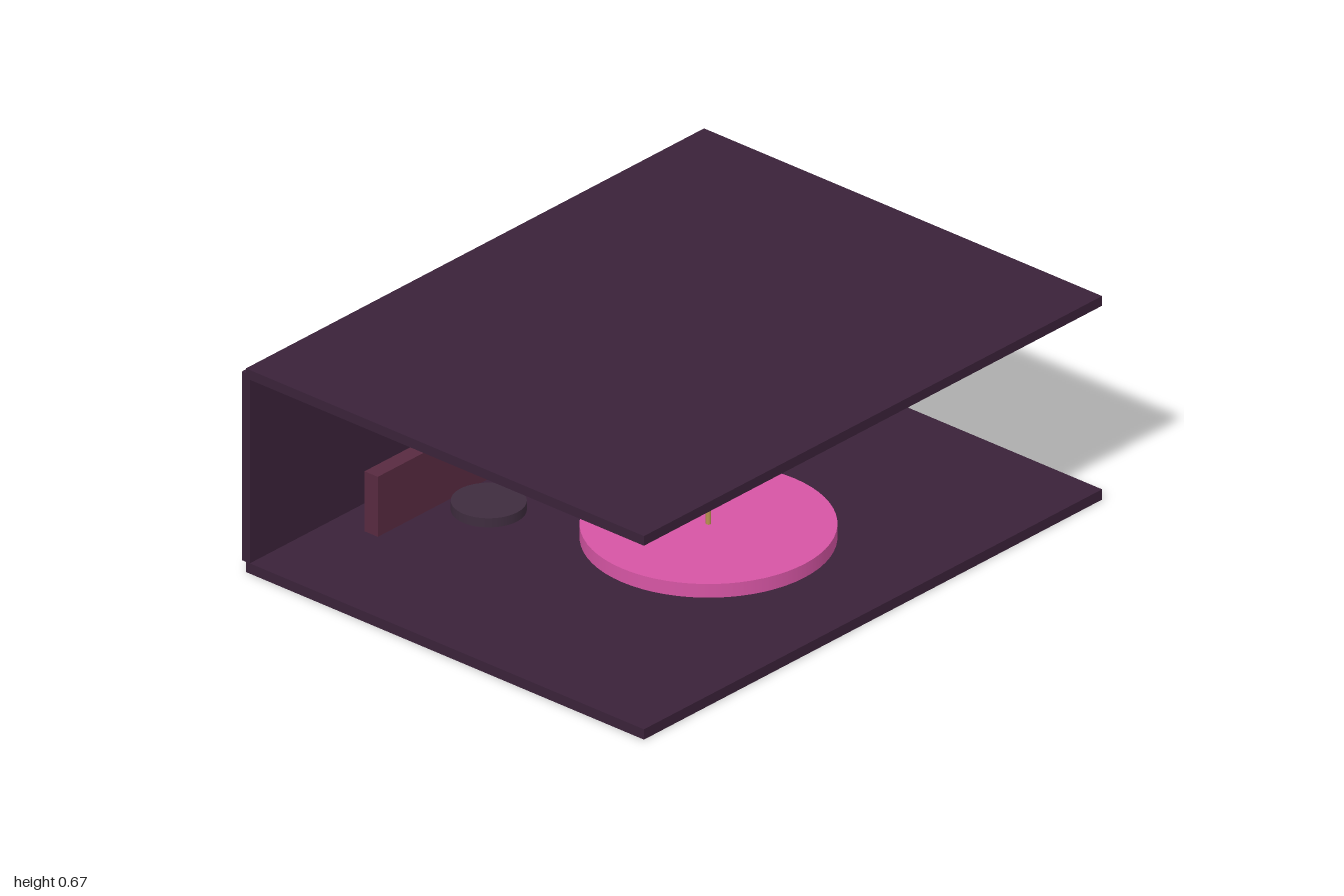
import * as THREE from 'three';

export function createModel() {
  const model = new THREE.Group();
  model.name = 'stageRoom';

  const mat = (color) => new THREE.MeshStandardMaterial({ color });
  const shell = mat(0x3a2239);
  const plum = mat(0x3e2c3e);
  const maroon = mat(0x582a40);
  const pink = mat(0xd655a4);
  const gold = mat(0xb8904f);

  const add = (name, geometry, material, x, y, z, parent = model) => {
    const mesh = new THREE.Mesh(geometry, material);
    mesh.name = name;
    mesh.position.set(x, y, z);
    parent.add(mesh);
    return mesh;
  };
  const box = (w, h, d) => new THREE.BoxGeometry(w, h, d);
  const rod = (r, h, sides = 48) => new THREE.CylinderGeometry(r, r, h, sides);

  // Room shell: floor, ceiling and back wall
  add('floor', box(2, 0.034, 1.558), shell, 0, 0.017, 0.008);
  add('ceiling', box(2, 0.032, 1.558), shell, 0, 0.656, 0.008);
  add('backWall', box(2, 0.623, 0.031), shell, 0, 0.345, -0.771);

  // Round stage with its pole
  add('stage', rod(0.376, 0.045, 64), pink, 0, 0.066, 0.143);
  add('pole', rod(0.008, 0.375, 16), gold, 0, 0.276, 0.143);

  // Long counter in front of the back wall
  add('counter', box(1.33, 0.198, 0.052), maroon, 0, 0.159, -0.581);

  // Round table tops, one on each side
  for (const side of [-1, 1]) {
    add(side > 0 ? 'leftTable' : 'rightTable', rod(0.111, 0.03), plum, side * 0.61, 0.28, -0.17);
  }

  // Hanging light: a thin stem with a ring of eight small lamps below it
  const light = new THREE.Group();
  light.name = 'hangingLight';
  light.position.set(0, 0, 0.009);
  model.add(light);
  add('lightStem', rod(0.007, 0.098, 12), pink, 0, 0.563, 0, light);
  for (let i = 0; i < 8; i++) {
    const a = (i * Math.PI) / 4;
    add('lamp', rod(0.011, 0.04, 16), pink, 0.234 * Math.cos(a), 0.495, 0.234 * Math.sin(a), light);
  }

  return model;
}
